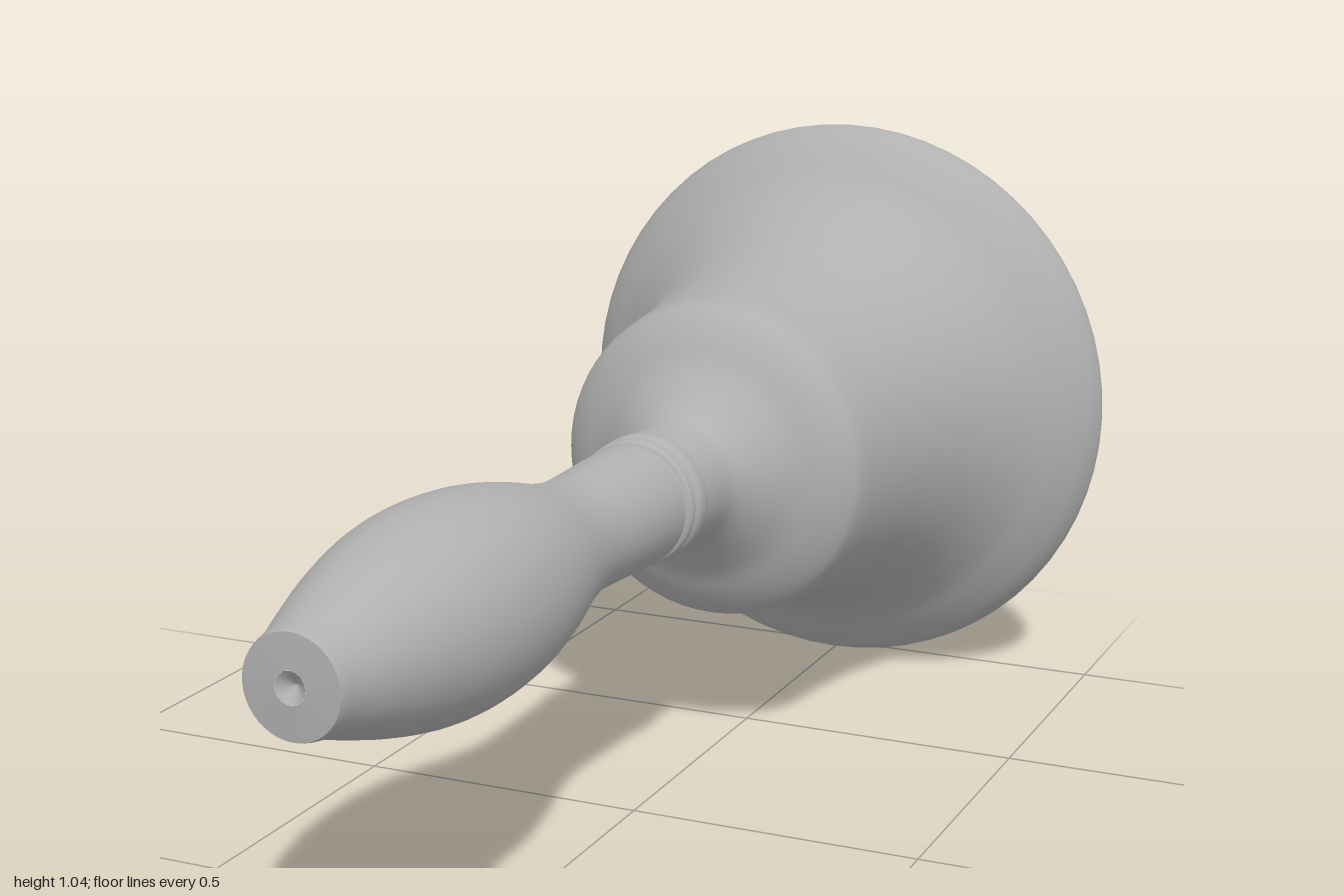
import * as THREE from 'three';

const metal = new THREE.MeshStandardMaterial({ color: 0xb0b0b0 });
metal.name = 'plain grey';

// Smooth curve through [radius, z] points
const smooth = (pts, n) =>
  new THREE.SplineCurve(pts.map(([r, z]) => new THREE.Vector2(r, z))).getPoints(n);
const straight = (pts) => pts.map(([r, z]) => new THREE.Vector2(r, z));

// Turned part around the z axis
function turned(name, points, segments = 64) {
  const geo = new THREE.LatheGeometry(points, segments);
  geo.rotateX(Math.PI / 2);
  const mesh = new THREE.Mesh(geo, metal);
  mesh.name = name;
  return mesh;
}

export function createModel() {
  const bell = new THREE.Group();
  bell.name = 'handBell';

  // Bell: outer wall from the flared lip to the neck
  bell.add(turned('bellOuter', smooth([
    [0.51, -0.99], [0.518, -0.975], [0.503, -0.935], [0.465, -0.893], [0.42, -0.85],
    [0.37, -0.775], [0.335, -0.69], [0.31, -0.6], [0.29, -0.48], [0.279, -0.37],
    [0.265, -0.338], [0.23, -0.31], [0.185, -0.285], [0.145, -0.25],
    [0.115, -0.215], [0.104, -0.18], [0.101, -0.105],
  ], 64)));

  // Flat lip, hollow inside and its floor
  bell.add(turned('bellLip', straight([[0.492, -0.99], [0.51, -0.99]])));
  bell.add(turned('bellInner', smooth([
    [0.225, -0.5], [0.262, -0.54], [0.285, -0.62], [0.325, -0.74],
    [0.375, -0.83], [0.435, -0.905], [0.475, -0.95], [0.492, -0.99],
  ], 28)));
  bell.add(turned('bellFloor', straight([[0, -0.47], [0.225, -0.5]])));

  // Collar: two beads between narrow grooves
  const collar = [[0.101, -0.11], [0.097, -0.105], [0.106, -0.095], [0.107, -0.07],
    [0.098, -0.06], [0.098, -0.055], [0.106, -0.047], [0.104, -0.035],
    [0.096, -0.03], [0.096, -0.024], [0.101, -0.018]];
  bell.add(turned('collar', smooth(collar, 40)));

  // Handle: slim at the neck, swelling to a grip
  bell.add(turned('handle', smooth([
    [0.101, -0.018], [0.1, 0.05], [0.096, 0.15], [0.097, 0.22], [0.111, 0.3],
    [0.135, 0.39], [0.154, 0.49], [0.161, 0.6], [0.154, 0.7], [0.133, 0.8],
    [0.106, 0.89], [0.086, 0.95], [0.079, 0.985], [0.076, 0.995],
  ], 48)));

  // Butt of the handle with a small centre dimple
  bell.add(turned('handleEnd', straight([[0.076, 0.995], [0.024, 0.998]])));
  bell.add(turned('endDimple', straight([[0.024, 0.998], [0, 0.98]]), 16));

  // The axis leans a touch off the z axis
  bell.position.set(-0.0175, 0.526, 0);
  bell.rotation.set(-0.005, -0.0175, 0);

  const model = new THREE.Group();
  model.add(bell);
  return model;
}
